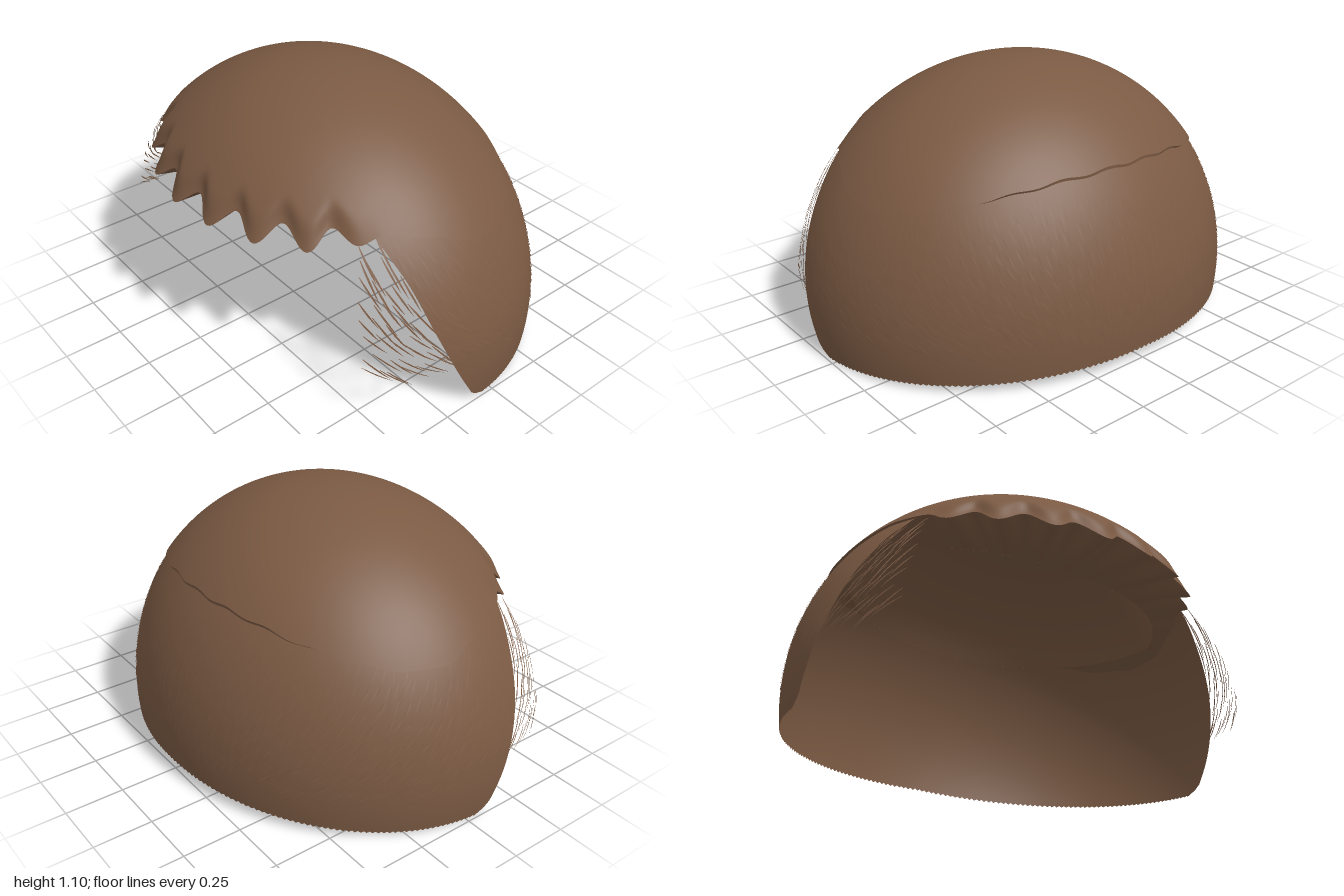
import * as THREE from 'three';

const hair = new THREE.MeshStandardMaterial({ color: 0x7b5a43, side: THREE.DoubleSide });
hair.name = 'brown hair';

const RAD = Math.PI / 180;
const CY = 0.15, CZ = 0.08, RY = 0.96, RZ = 0.85;

// Horizontal size of the head ellipsoid at a height
const girth = y => Math.sqrt(Math.max(0, 1 - ((y - CY) / RY) ** 2));
// Point on the ellipsoid: phi = 0 faces front, 90 degrees is +x
const onHead = (phi, y, k = 1) => {
  const s = girth(y) * k;
  return new THREE.Vector3(Math.sin(phi) * s, y, CZ + Math.cos(phi) * s * RZ);
};

// Smooth curve through a few (x, y) points
function smooth(points) {
  const c = new THREE.CubicInterpolant(
    new Float32Array(points.map(p => p[0])), new Float32Array(points.map(p => p[1])), 1);
  return x => c.evaluate(x)[0];
}

function build(pos, index) {
  const g = new THREE.BufferGeometry();
  g.setAttribute('position', new THREE.Float32BufferAttribute(pos, 3));
  g.setIndex(index);
  g.computeVertexNormals();
  return g;
}

// Indexed grid surface; u runs around, v runs upward
function surface(nu, nv, closed, f) {
  const cols = closed ? nu : nu + 1, pos = [], index = [];
  for (let j = 0; j <= nv; j++)
    for (let i = 0; i < cols; i++) pos.push(...f(i / nu, j / nv, i).toArray());
  for (let j = 0; j < nv; j++)
    for (let i = 0; i < nu; i++) {
      const n = (i + 1) % cols;
      const a = j * cols + i, b = j * cols + n, c = b + cols, d = a + cols;
      index.push(a, b, d, b, c, d);
    }
  return build(pos, index);
}

// Hem height of the cap against degrees from the front
const hemBase = smooth([[0, 0.715], [40, 0.73], [57, 0.745], [70, 0.755], [83, 0.72], [97, 0.665],
  [112, 0.665], [135, 0.72], [158, 0.77], [180, 0.785]]);
const turn = u => (u * 2 - 1) * Math.PI;
const fringe = phi => 1 - THREE.MathUtils.smoothstep(Math.abs(phi) / RAD, 46, 66);
const wave = phi => Math.cos((phi / RAD - 11) / 16 * 2 * Math.PI);
const hem = phi => hemBase(Math.abs(phi) / RAD) - 0.036 * wave(phi) * fringe(phi)
  + 0.004 * Math.sin(phi * 23) * (1 - fringe(phi));

function capPoint(phi, v) {
  const t0 = Math.asin((hem(phi) - CY) / RY);
  const y = CY + RY * Math.sin(THREE.MathUtils.lerp(t0, Math.PI / 2, v));
  // the fringe tucks in towards its hem
  const tuck = fringe(phi) * (1 - THREE.MathUtils.smoothstep(v, 0, 0.16));
  return onHead(phi, y, 1.015 - tuck * (0.045 - 0.012 * wave(phi)));
}

// Inner ring of the cap's underside, set well back behind the fringe
const RING_Y = 0.695;
const ringScale = phi => 0.92 - 0.38 * Math.max(0, Math.cos(phi));

// Front edge (z) of the side hair against height
const frontEdge = smooth([[0, 0.04], [0.03, 0.1], [0.08, 0.135], [0.2, 0.2], [0.4, 0.28],
  [0.6, 0.335], [0.76, 0.38], [0.84, 0.38]]);

const SIDE_TOP = 0.83;
function sidePoint(u, v, i) {
  const level = v * SIDE_TOP;
  const start = Math.acos((frontEdge(level) - CZ) / (RZ * girth(level)));
  const phi = THREE.MathUtils.lerp(start, 2 * Math.PI - start, u);
  // bottom edge rises to the back and is finely toothed
  const bottom = 0.005 + 0.03 * (1 - Math.abs(Math.sin(phi))) + 0.03 * Math.max(0, -Math.cos(phi));
  const teeth = v === 0 && i % 2 ? 0.009 : 0;
  return onHead(phi, THREE.MathUtils.lerp(bottom + teeth, SIDE_TOP, v));
}

// Tapered ribbons lying on the side hair, swept down and back on both sides
function strands() {
  let seed = 7;
  const rand = () => (seed = (seed * 16807) % 2147483647) / 2147483647;
  const pos = [], index = [], steps = 4;
  for (let row = 0; row < 9; row++)
    for (let deg = 56; deg < 180; deg += 3) {
      const yTop = 0.75 - row * 0.066 + (rand() - 0.5) * 0.04;
      const front = 1 - THREE.MathUtils.smoothstep(deg, 85, 112);
      const back = THREE.MathUtils.smoothstep(deg, 125, 180);
      const startDeg = deg + rand() * 2;
      const drop = (0.13 - 0.065 * (1 - back) * row / 8) * (0.8 + rand() * 0.4);
      const sweep = (4 + row * 0.4) * (1 - 0.8 * back) * (0.85 + rand() * 0.3);
      if (yTop - drop < 0.09 + 0.11 * front || yTop > hem(startDeg * RAD) + 0.02) continue;
      for (const side of [1, -1]) {
        const base = pos.length / 3;
        for (let k = 0; k <= steps; k++) {
          const t = k / steps;
          const phi = (startDeg + sweep * t) * RAD;
          const y = yTop - drop * t;
          const half = 0.005 * Math.sin(Math.PI * (0.12 + 0.84 * t)) / girth(y);
          const lift = 1 + 0.004 * Math.sin(Math.PI * t);
          for (const e of [-1, 1]) pos.push(...onHead(side * (phi + e * half), y, lift).toArray());
          if (k < steps) {
            const a = base + k * 2;
            if (side > 0) index.push(a, a + 2, a + 1, a + 1, a + 2, a + 3);
            else index.push(a, a + 1, a + 2, a + 1, a + 3, a + 2);
          }
        }
      }
    }
  return build(pos, index);
}

export function createModel() {
  const model = new THREE.Group();
  model.name = 'hair';
  const add = (name, geometry) => {
    const mesh = new THREE.Mesh(geometry, hair);
    mesh.name = name;
    model.add(mesh);
  };

  // Top hair with the scalloped fringe
  add('topCap', surface(360, 40, true, (u, v) => capPoint(turn(u), v)));

  // Underside of the cap, from the inner ring out to the hem
  add('capRim', surface(360, 4, true, (u, v) =>
    onHead(turn(u), RING_Y, ringScale(turn(u))).lerp(capPoint(turn(u), 0), v)));

  // Inner dome above the ring
  add('capLining', surface(96, 16, true, (u, v) => {
    const t = THREE.MathUtils.lerp(Math.asin((RING_Y - CY) / RY), Math.PI / 2, v);
    const p = onHead(turn(u), CY + RY * Math.sin(t), ringScale(turn(u)));
    p.y -= 0.03 * v;
    return p;
  }));

  // Hair around the sides and back, open at the face
  add('sideAndBackHair', surface(240, 36, false, sidePoint));

  // Loose strands
  add('strands', strands());
  return model;
}
